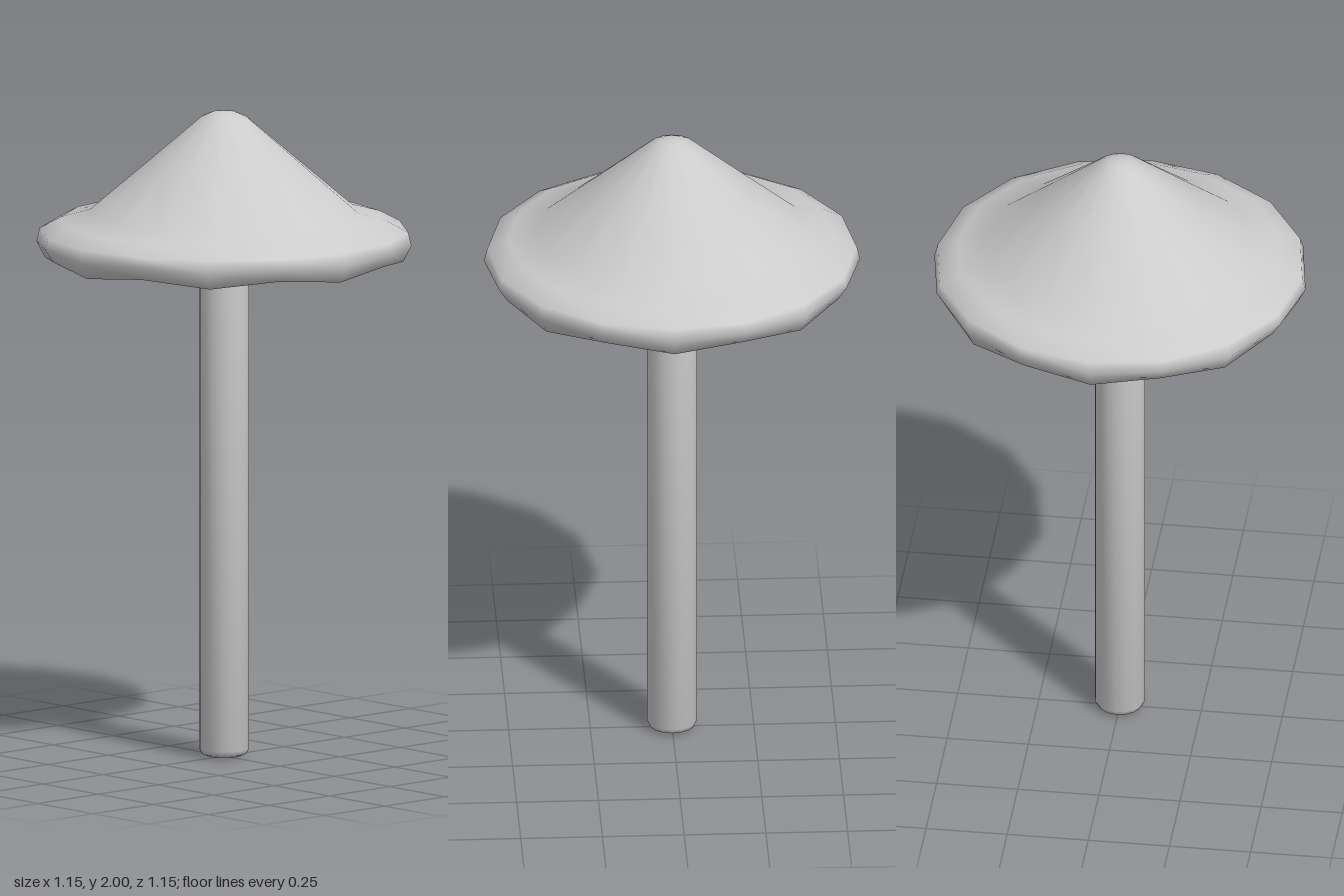
import * as THREE from 'three';
import { mergeVertices, toCreasedNormals } from 'three/addons/utils/BufferGeometryUtils.js';

const material = new THREE.MeshStandardMaterial({ color: 0xcccccc, side: THREE.DoubleSide });
const SIDES = 16;
const TURN = -2 * Math.PI / 180;

// Lathe whose alternate spokes are raised by lift[ring]; seam is welded for smooth shading
function wavyLathe(points, segments, lift) {
  const geometry = new THREE.LatheGeometry(
    points.map(([r, y]) => new THREE.Vector2(r, y)), segments, TURN);
  const position = geometry.attributes.position;
  for (let i = 0; i < position.count; i++) {
    const spoke = Math.floor(i / points.length);
    const ring = i % points.length;
    if (spoke % 2) position.setY(i, position.getY(i) + lift[ring]);
  }
  geometry.deleteAttribute('normal');
  geometry.deleteAttribute('uv');
  const welded = mergeVertices(geometry, 1e-4);
  welded.computeVertexNormals();
  return welded;
}

function addMesh(group, name, geometry) {
  const mesh = new THREE.Mesh(geometry, material);
  mesh.name = name;
  group.add(mesh);
}

export function createModel() {
  const group = new THREE.Group();
  group.name = 'mushroom';

  // Pointed cap with a flared, rolled and slightly wavy rim
  const capProfile = [
    [0.46, 1.6], [0.49, 1.56], [0.55, 1.54], [0.575, 1.59], [0.565, 1.63],
    [0.5, 1.665], [0.41, 1.69], [0.24, 1.835], [0.07, 1.982], [0.035, 1.997], [0, 2],
  ];
  addMesh(group, 'cap', wavyLathe(capProfile, SIDES,
    [0, 0.015, 0.02, 0.01, 0, 0, 0, 0, 0, 0, 0]));

  // Pleated gills, closed against the inside of the rim
  const gillProfile = [[0.05, 1.67], [0.25, 1.63], [0.455, 1.6], [0.465, 1.6]];
  addMesh(group, 'gills', toCreasedNormals(
    wavyLathe(gillProfile, SIDES * 2, [0.04, 0.05, 0.05, 0]), 0.4));

  // Straight stem with a softened foot
  const stemProfile = [[0, 0], [0.05, 0.002], [0.07, 0.01], [0.077, 0.025], [0.077, 1.4], [0.075, 1.72], [0, 1.72]];
  const stem = new THREE.LatheGeometry(
    stemProfile.map(([r, y]) => new THREE.Vector2(r, y)), SIDES, TURN);
  addMesh(group, 'stem', toCreasedNormals(stem, 0.8));

  return group;
}
